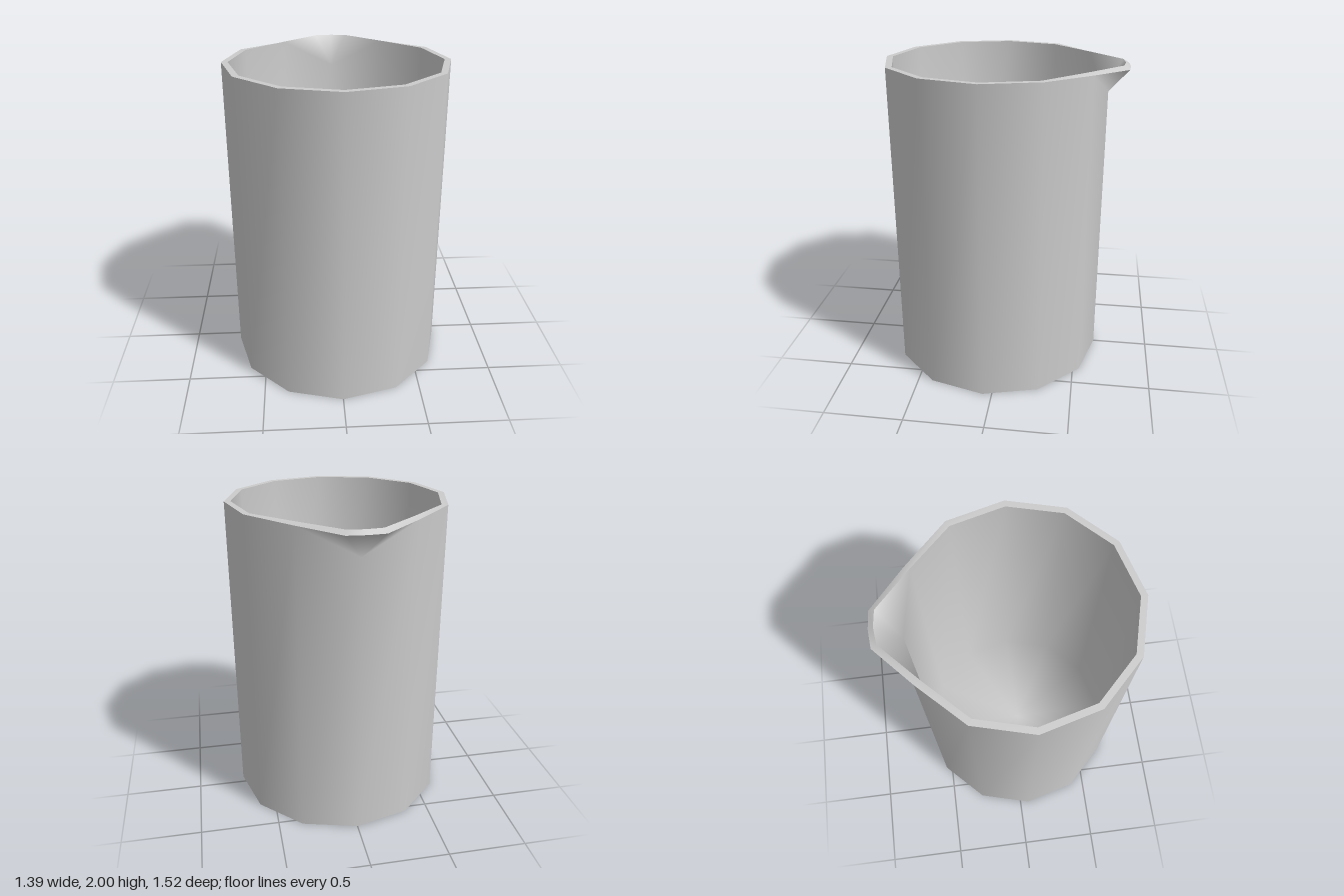
import * as THREE from 'three';
import { mergeVertices } from 'three/addons/utils/BufferGeometryUtils.js';

const CENTRE_Z = 0.06, HEIGHT = 2, FLOOR = 0.04, SPOUT_Y = 1.82;
const V = (x, y, z) => new THREE.Vector3(x, y, z);

// Twelve-sided ring; the back corner is tripled so it can open into the spout.
function ring(radius, y, backY = y) {
  const points = [];
  for (const step of [0, 1, 2, 3, 4, 5, 6, 6, 6, 7, 8, 9, 10, 11]) {
    const a = (step * Math.PI) / 6;
    points.push(V(radius * Math.sin(a), step === 6 ? backY : y, CENTRE_Z + radius * Math.cos(a)));
  }
  return points;
}

// Rim ring with the back pulled out to a pouring lip.
function rim(radius, lipX, lipZ, tipZ, shoulderY, lipY) {
  const points = ring(radius, HEIGHT);
  points[5].y = points[9].y = shoulderY;
  points[6].set(lipX, lipY, lipZ);
  points[7].set(0, lipY, tipZ);
  points[8].set(-lipX, lipY, lipZ);
  return points;
}

// Joins successive rings into a smooth surface, skipping collapsed triangles.
function skin(rows) {
  const positions = [];
  const tri = (a, b, c) => {
    if (a.distanceTo(b) < 1e-5 || b.distanceTo(c) < 1e-5 || c.distanceTo(a) < 1e-5) return;
    for (const p of [a, b, c]) positions.push(p.x, p.y, p.z);
  };
  for (let r = 0; r < rows.length - 1; r++) {
    const low = rows[r], high = rows[r + 1], n = low.length;
    for (let i = 0; i < n; i++) {
      const j = (i + 1) % n;
      tri(low[i], low[j], high[j]);
      tri(low[i], high[j], high[i]);
    }
  }
  const geometry = new THREE.BufferGeometry();
  geometry.setAttribute('position', new THREE.Float32BufferAttribute(positions, 3));
  const merged = mergeVertices(geometry, 1e-4);
  merged.computeVertexNormals();
  return merged;
}

export function createModel() {
  const group = new THREE.Group();
  group.name = 'beaker';
  const material = new THREE.MeshStandardMaterial({ color: 0xcccccc });
  const add = (name, rows) => {
    const mesh = new THREE.Mesh(skin(rows), material);
    mesh.name = name;
    group.add(mesh);
  };

  const outerBase = ring(0.695, 0);
  const outerMid = ring(0.695, HEIGHT, SPOUT_Y);
  const outerRim = rim(0.695, 0.112, -0.753, -0.762, 1.988, 1.977);
  const innerBase = ring(0.655, FLOOR);
  const innerMid = ring(0.655, HEIGHT, SPOUT_Y);
  const innerRim = rim(0.655, 0.102, -0.718, -0.73, HEIGHT, HEIGHT);
  // The wall below the spout follows the lowered shoulders of the rim.
  for (const i of [5, 9]) outerMid[i].copy(outerRim[i]);

  const point = (y) => outerBase.map(() => V(0, y, CENTRE_Z));

  add('outerWall', [outerBase, outerMid, outerRim]);
  add('rim', [outerRim, innerRim]);
  add('innerWallAndFloor', [innerRim, innerMid, innerBase, point(FLOOR)]);
  add('base', [point(0), outerBase]);
  return group;
}
